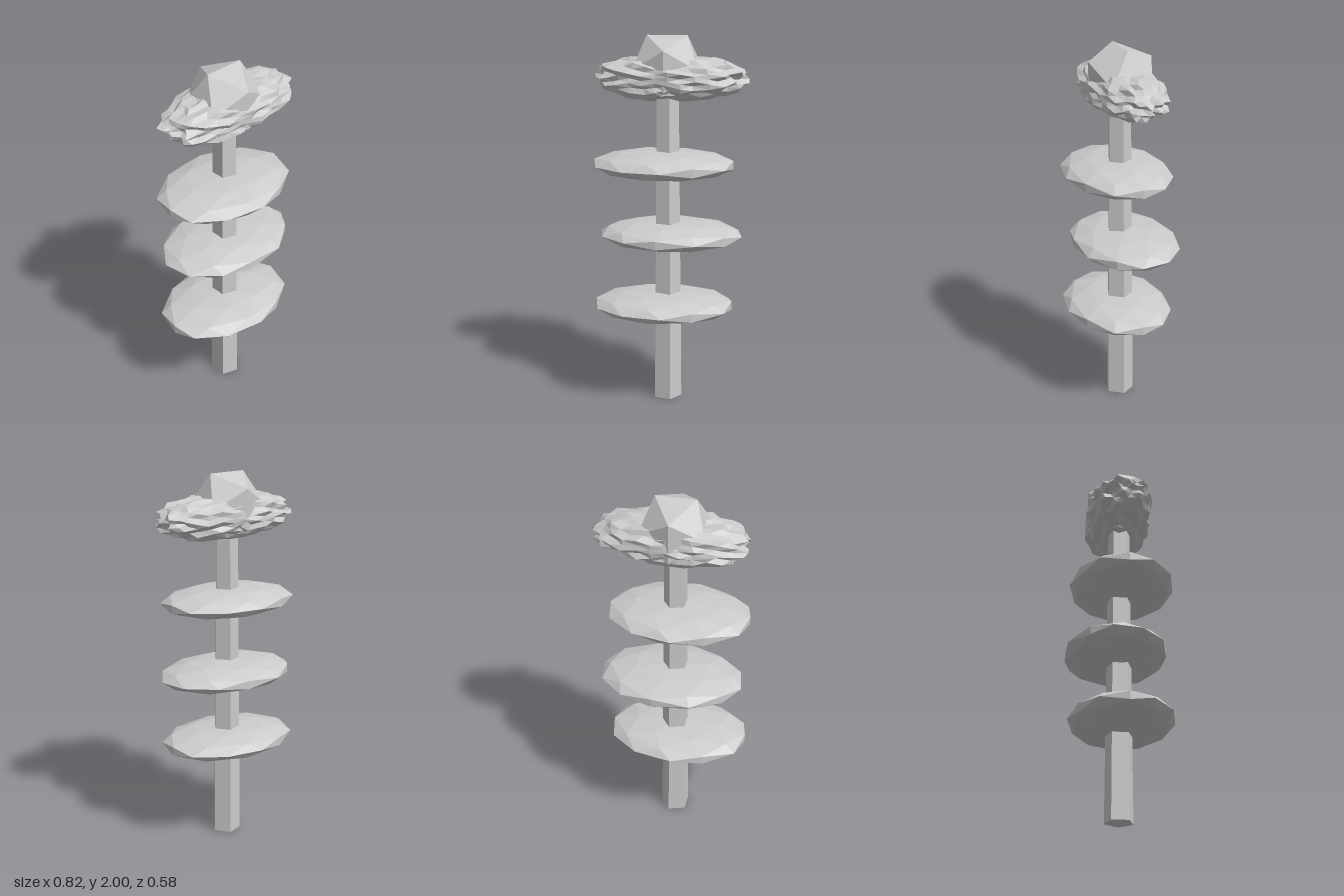
import * as THREE from 'three';

const material = new THREE.MeshStandardMaterial({ color: 0xcccccc, flatShading: true });
const AXIS = -0.015; // x of the trunk

function add(group, name, geometry, x, y, z) {
  geometry.computeVertexNormals();
  const mesh = new THREE.Mesh(geometry, material);
  mesh.name = name;
  mesh.position.set(x, y, z);
  group.add(mesh);
}

// Repeatable value in 0..1 for a direction, the same for coincident corners
function hash(v) {
  const q = (n) => Math.round(n * 1000);
  const s = Math.sin(q(v.x) * 12.9898 + q(v.y) * 78.233 + q(v.z) * 37.719) * 43758.5453;
  return s - Math.floor(s);
}

// Faceted flat disc: a turned icosphere squashed to an oval
function discGeometry(turn) {
  return new THREE.IcosahedronGeometry(1, 1)
    .rotateY(THREE.MathUtils.degToRad(turn))
    .scale(0.392, 0.075, 0.285);
}

// Bristly oval: a boxy ellipsoid whose points are pushed in and out
function bristleGeometry() {
  const geometry = new THREE.IcosahedronGeometry(1, 5);
  const pos = geometry.attributes.position;
  const v = new THREE.Vector3();
  const p = 2.5;
  for (let i = 0; i < pos.count; i++) {
    v.fromBufferAttribute(pos, i);
    const spike = 0.85 + 0.18 * hash(v);
    const norm = (Math.abs(v.x) ** p + Math.abs(v.y) ** p + Math.abs(v.z) ** p) ** (1 / p);
    v.multiplyScalar(spike / norm);
    pos.setXYZ(i, v.x * 0.405, v.y * 0.118, v.z * 0.187);
  }
  return geometry;
}

export function createModel() {
  const group = new THREE.Group();
  group.name = 'tieredTree';

  // Five-sided tapering trunk
  const trunk = new THREE.CylinderGeometry(0.062, 0.079, 1.75, 5).rotateY(Math.PI / 2);
  add(group, 'trunk', trunk, AXIS, 0.875, 0);

  // Three leaf tiers, the middle one turned differently
  add(group, 'lowerTier', discGeometry(60), -0.033, 0.538, 0.01);
  add(group, 'middleTier', discGeometry(23), 0.003, 0.93, -0.02);
  add(group, 'upperTier', discGeometry(60), -0.033, 1.32, 0.01);

  // Bristly crown with a plain faceted ball in its middle
  add(group, 'bristlyCrown', bristleGeometry(), 0.004, 1.78, -0.005);
  add(group, 'topBall', new THREE.IcosahedronGeometry(0.204, 0), AXIS, 1.827, -0.006);

  return group;
}
